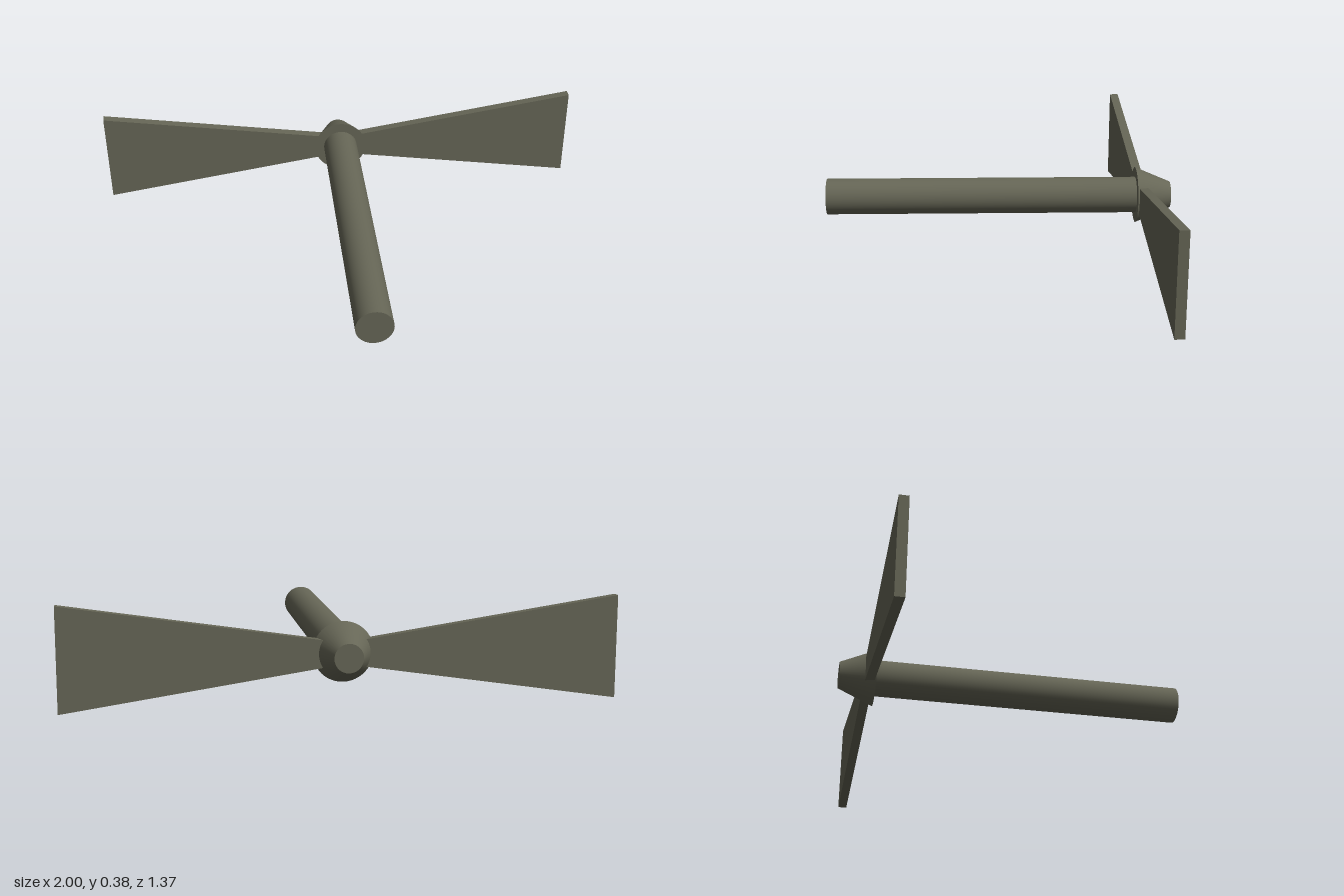
import * as THREE from 'three';

export function createModel() {
  const model = new THREE.Group();
  const olive = new THREE.MeshStandardMaterial({ color: 0x666656 });
  olive.name = 'olive grey';
  const axisY = 0.189;

  // Round part along z, running from zBack to zFront
  function rod(name, rFront, rBack, zBack, zFront) {
    const geometry = new THREE.CylinderGeometry(rFront, rBack, zFront - zBack, 48);
    geometry.rotateX(Math.PI / 2);
    const mesh = new THREE.Mesh(geometry, olive);
    mesh.name = name;
    mesh.position.set(0, axisY, (zBack + zFront) / 2);
    model.add(mesh);
  }
  rod('shaft', 0.071, 0.071, -0.56, 0.683);
  rod('hub', 0.11, 0.052, -0.683, -0.545);

  // Flat blades, widening from the hub to the tip
  const outline = new THREE.Shape([
    new THREE.Vector2(0.04, -0.044),
    new THREE.Vector2(1, -0.189),
    new THREE.Vector2(1, 0.189),
    new THREE.Vector2(0.04, 0.044),
  ]);
  const bladeGeometry = new THREE.ExtrudeGeometry(outline, { depth: 0.036, bevelEnabled: false });
  bladeGeometry.translate(0, 0, -0.018);
  for (const [name, turn] of [['leftBlade', 0], ['rightBlade', Math.PI]]) {
    const blade = new THREE.Mesh(bladeGeometry, olive);
    blade.name = name;
    blade.position.set(0, axisY, -0.569);
    blade.rotation.z = turn;
    model.add(blade);
  }
  return model;
}
